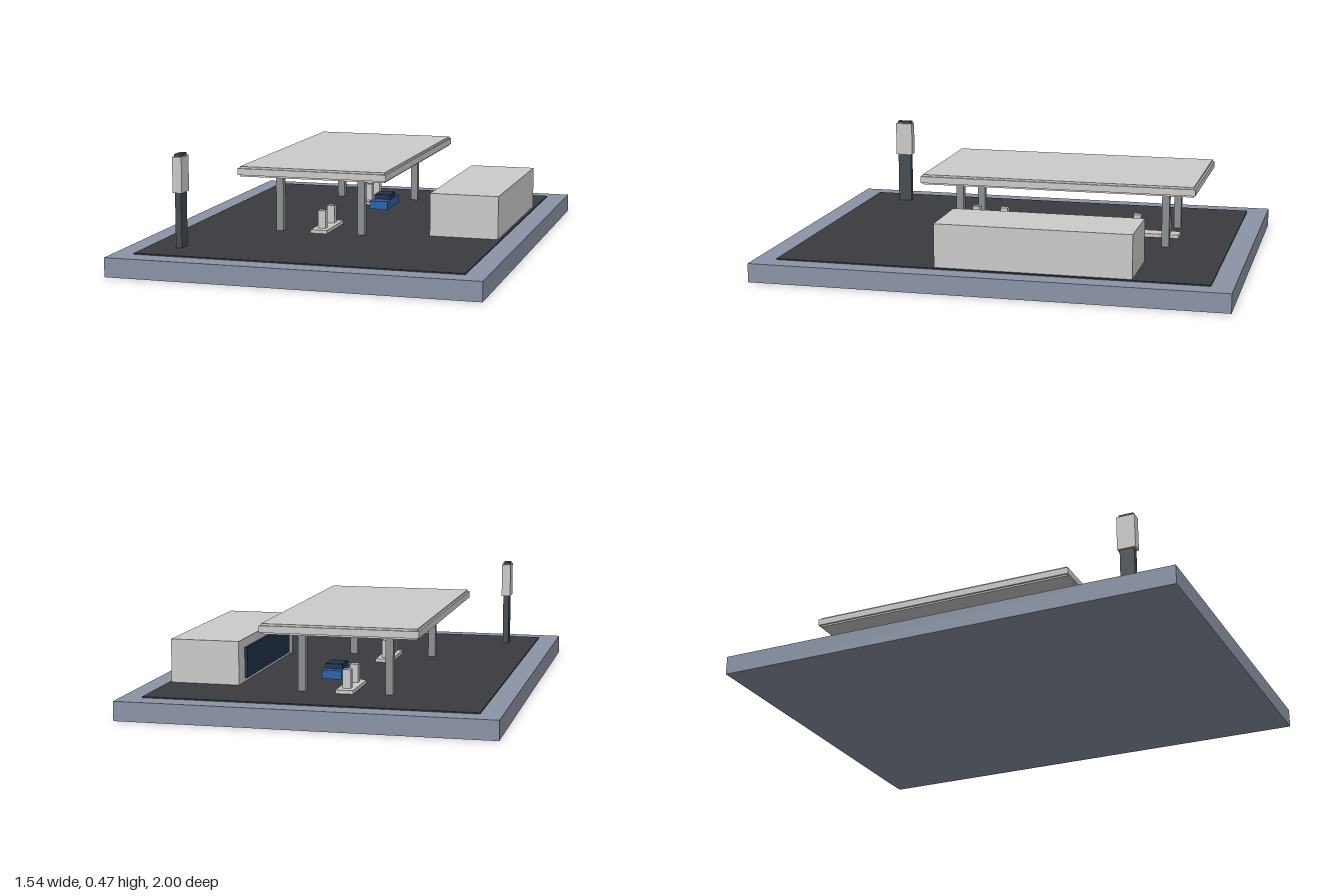
import * as THREE from 'three';

const mat = (color) => new THREE.MeshStandardMaterial({ color });

export function createModel() {
  const model = new THREE.Group();
  const grey = mat(0xcccccc);
  const kerb = mat(0x8b94a6);
  const asphalt = mat(0x3a3b3e);
  const steel = mat(0x8c9092);
  const dark = mat(0x454b50);
  const glass = mat(0x22324a);
  const blue = mat(0x2a62a8);

  // Box given by its extents along each axis
  const box = (parent, name, material, [x0, x1], [y0, y1], [z0, z1]) => {
    const mesh = new THREE.Mesh(new THREE.BoxGeometry(x1 - x0, y1 - y0, z1 - z0), material);
    mesh.position.set((x0 + x1) / 2, (y0 + y1) / 2, (z0 + z1) / 2);
    mesh.name = name;
    parent.add(mesh);
    return mesh;
  };
  const group = (name) => {
    const g = new THREE.Group();
    g.name = name;
    model.add(g);
    return g;
  };
  const around = (c, half) => [c - half, c + half];

  // Ground slab and paved forecourt
  const ground = group('ground');
  box(ground, 'baseSlab', kerb, [-0.77, 0.77], [0, 0.08], [-1, 1]);
  box(ground, 'forecourt', asphalt, [-0.682, 0.682], [0.078, 0.085], [-0.908, 0.908]);

  // Canopy: roof slab, wider edge band and four columns
  const canopy = group('canopy');
  box(canopy, 'canopyRoof', grey, [-0.41, 0.225], [0.333, 0.376], [-0.772, 0.407]);
  box(canopy, 'canopyBand', grey, [-0.418, 0.233], [0.34, 0.368], [-0.78, 0.415]);
  for (const x of [-0.273, 0.09])
    for (const z of [-0.638, 0.273])
      box(canopy, 'canopyColumn', steel, around(x, 0.016), [0.084, 0.335], around(z, 0.016));

  // Two islands, each with a pair of pumps
  for (const z of [0.185, -0.55]) {
    const island = group('pumpIsland');
    box(island, 'islandKerb', grey, around(-0.092, 0.036), [0.084, 0.1], around(z, 0.123));
    for (const dz of [-0.065, 0.065])
      box(island, 'fuelPump', grey, around(-0.092, 0.017), [0.1, 0.177], around(z + dz, 0.017));
  }

  // Shop with a glazed front facing the pumps
  const shop = group('shop');
  box(shop, 'shopBuilding', grey, [0.376, 0.67], [0.084, 0.268], [-0.593, 0.227]);
  box(shop, 'shopWindow', glass, [0.365, 0.378], [0.1, 0.23], [-0.51, 0.14]);

  // Parked car
  const car = group('car');
  box(car, 'carBody', blue, around(0.017, 0.042), [0.099, 0.136], around(-0.35, 0.1));
  box(car, 'carCabin', glass, around(0.017, 0.036), [0.136, 0.157], around(-0.36, 0.05));

  // Roadside sign
  const sign = group('roadSign');
  box(sign, 'signPost', dark, around(-0.547, 0.013), [0.084, 0.315], around(0.73, 0.031));
  box(sign, 'signPanel', grey, around(-0.547, 0.02), [0.313, 0.461], around(0.73, 0.039));
  box(sign, 'signCap', dark, around(-0.547, 0.014), [0.46, 0.472], around(0.73, 0.032));

  return model;
}
